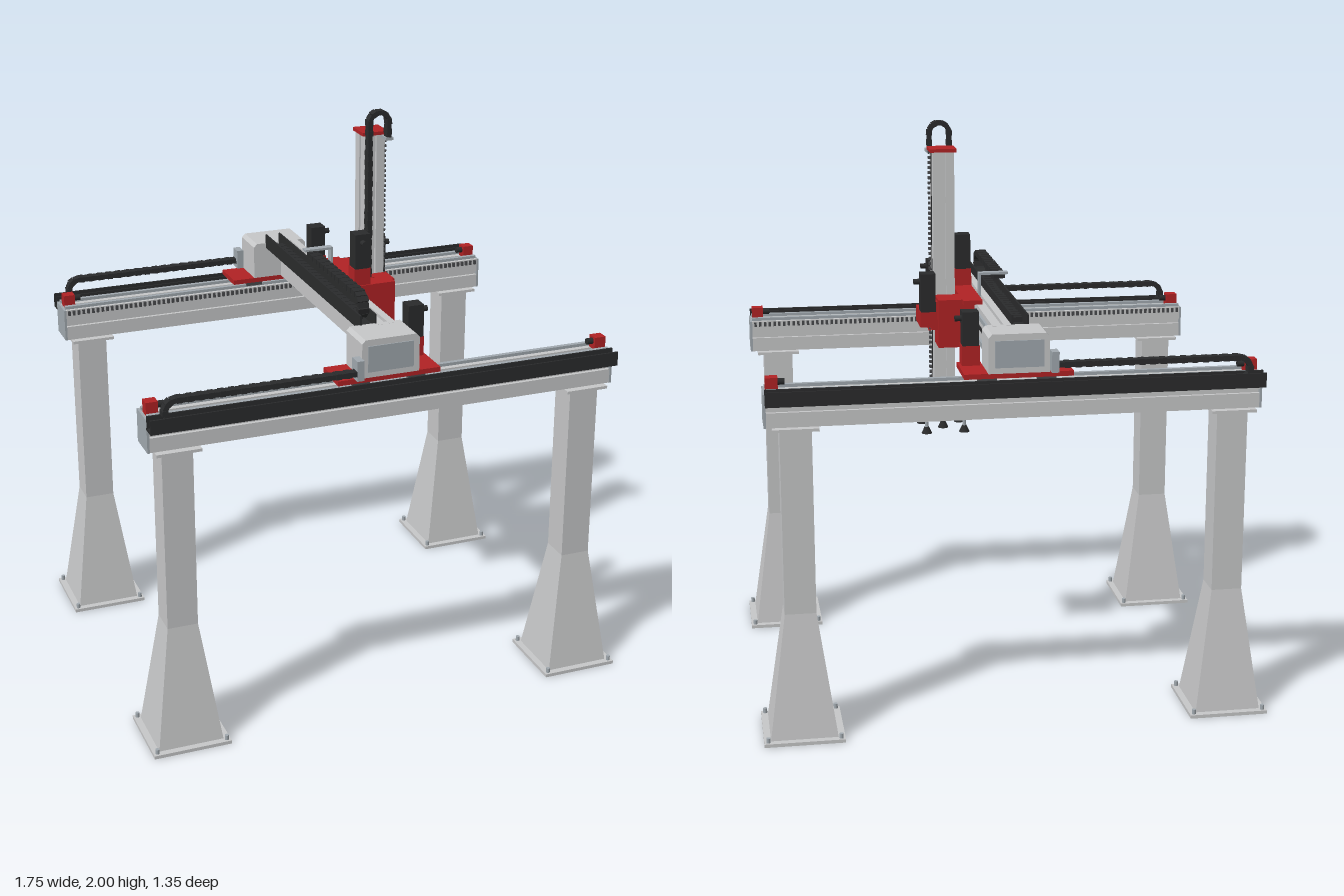
import * as THREE from 'three';
import { mergeGeometries } from 'three/addons/utils/BufferGeometryUtils.js';

const mat = (name, color) => {
  const m = new THREE.MeshStandardMaterial({ color });
  m.name = name;
  return m;
};

export function createModel() {
  const grey = mat('light grey', 0xc6c7c8), steel = mat('blue grey steel', 0xa0a8ae);
  const red = mat('red', 0xb02224), black = mat('black', 0x2a2b2c), dark = mat('dark grey', 0x48494b);
  const root = new THREE.Group();

  const add = (name, geo, m, x = 0, y = 0, z = 0) => {
    const mesh = new THREE.Mesh(geo, m);
    mesh.name = name;
    mesh.position.set(x, y, z);
    root.add(mesh);
    return mesh;
  };
  // Box given by its limits on each axis, in any order
  const box = (name, m, x0, x1, y0, y1, z0, z1) => add(name,
    new THREE.BoxGeometry(Math.abs(x1 - x0), Math.abs(y1 - y0), Math.abs(z1 - z0)), m,
    (x0 + x1) / 2, (y0 + y1) / 2, (z0 + z1) / 2);
  const cyl = (name, m, r0, r1, h, x, y, z, axis = 'y') => {
    const g = new THREE.CylinderGeometry(r0, r1, h, 16);
    if (axis === 'x') g.rotateZ(-Math.PI / 2);
    if (axis === 'z') g.rotateX(Math.PI / 2);
    return add(name, g, m, x, y, z);
  };

  // Aluminium profile: centred rectangle with a slot in the middle of each side
  const profile = (w, h, len) => {
    const a = w / 2, b = h / 2, s = 0.007, d = 0.012;
    const shape = new THREE.Shape([
      [-a, -b], [-s, -b], [-s, -b + d], [s, -b + d], [s, -b], [a, -b],
      [a, -s], [a - d, -s], [a - d, s], [a, s], [a, b],
      [s, b], [s, b - d], [-s, b - d], [-s, b], [-a, b],
      [-a, s], [-a + d, s], [-a + d, -s], [-a, -s],
    ].map(p => new THREE.Vector2(...p)));
    return new THREE.ExtrudeGeometry(shape, { depth: len, bevelEnabled: false }).translate(0, 0, -len / 2);
  };

  // Row of rack teeth along one axis
  const rack = (name, axis, from, to, x, y, z, size) => {
    const parts = [];
    for (let t = from; t <= to; t += 0.018) {
      const g = new THREE.BoxGeometry(...size);
      g.translate(axis === 'x' ? t : x, axis === 'y' ? t : y, z);
      parts.push(g);
    }
    add(name, mergeGeometries(parts), dark);
  };

  // Cable chain: flat links along a U path (run, half turn, run) in the xy plane
  const chain = (len0, len1, r, width, thick) => {
    const total = len0 + Math.PI * r + len1, n = Math.round(total / 0.018), parts = [];
    for (let i = 0; i < n; i++) {
      const t = (i + 0.5) * total / n;
      let x, y, a;
      if (t < len0) [x, y, a] = [len0 - t, -r, 0];
      else if (t < len0 + Math.PI * r) {
        a = (t - len0) / r;
        [x, y] = [-Math.sin(a) * r, -Math.cos(a) * r];
        a = -a;
      } else [x, y, a] = [t - len0 - Math.PI * r, r, 0];
      const g = new THREE.BoxGeometry(total / n * 1.08, i % 2 ? thick : thick * 0.85, i % 2 ? width : width * 0.92);
      parts.push(g.rotateZ(a).translate(x, y, 0));
    }
    return mergeGeometries(parts);
  };

  // Four legs with flared feet
  for (const x of [-0.738, 0.735]) for (const z of [-0.54, 0.54]) {
    box('footPlate', grey, x - 0.137, x + 0.137, 0, 0.012, z - 0.137, z + 0.137);
    const square = (name, top, bottom, y0, y1) => add(name,
      new THREE.CylinderGeometry(top * Math.SQRT2, bottom * Math.SQRT2, y1 - y0, 4).rotateY(Math.PI / 4).toNonIndexed(),
      grey, x, (y0 + y1) / 2, z).geometry.computeVertexNormals();
    square('legFlare', 0.053, 0.114, 0.012, 0.44);
    square('legColumn', 0.053, 0.053, 0.44, 1.08);
    box('legTopPlate', grey, x - 0.077, x + 0.077, 1.08, 1.09, z - 0.079, z + 0.079);
    for (const i of [-1, 1]) for (const j of [-1, 1])
      cyl('anchorBolt', steel, 0.007, 0.007, 0.018, x + i * 0.123, 0.02, z + j * 0.123);
  }

  // Both long rails with their carriages
  for (const s of [-1, 1]) {
    add('railBeam', profile(0.11, 0.115, 1.66).rotateY(Math.PI / 2), grey, 0, 1.148, s * 0.54);
    for (const e of [-1, 1]) {
      box('beamEndPlate', steel, e * 0.83, e * 0.838, 1.09, 1.205, s * 0.485, s * 0.597);
      box('endStop', red, e * 0.787, e * 0.828, 1.205, 1.25, s * 0.52, s * 0.56);
      cyl('stopBuffer', black, 0.011, 0.011, 0.024, e * 0.776, 1.233, s * 0.54, 'x');
    }
    for (const z of [0.505, 0.577])
      box('guideRail', steel, -0.83, 0.83, 1.205, 1.216, s * (z - 0.008), s * (z + 0.008));
    rack('railRack', 'x', -0.82, 0.82, 0, 1.195, s * 0.482, [0.009, 0.016, 0.01]);

    // Cable tray and chain on the outer side
    box('trayFloor', black, -0.838, 0.833, 1.172, 1.18, s * 0.59, s * 0.643);
    box('trayOuterWall', black, -0.838, 0.833, 1.172, 1.222, s * 0.637, s * 0.643);
    box('trayInnerWall', black, -0.838, 0.833, 1.172, 1.222, s * 0.597, s * 0.603);
    add('railChain', chain(1.55, 0.63, 0.04, 0.032, 0.02), black, -0.745, 1.235, s * 0.62);
    box('chainBracket', steel, -0.132, -0.107, 1.25, 1.32, s * 0.59, s * 0.637);

    // Carriage plate, bearing blocks and housing
    box('carriagePlate', red, -0.187, 0.18, 1.23, 1.247, s * 0.47, s * 0.605);
    box('motorMount', red, 0.1, 0.18, 1.23, 1.247, s * 0.428, s * 0.47);
    for (const x of [-0.1, 0.1]) for (const z of [0.505, 0.577])
      box('bearingBlock', dark, x - 0.03, x + 0.03, 1.212, 1.23, s * (z - 0.018), s * (z + 0.018));
    const house = new THREE.Shape([[-0.105, 0], [0.1, 0], [0.1, 0.12], [0.088, 0.133], [-0.093, 0.133], [-0.105, 0.12]]
      .map(p => new THREE.Vector2(...p)));
    add('carriageHousing', new THREE.ExtrudeGeometry(house, { depth: 0.14, bevelEnabled: false }),
      grey, 0, 1.247, s * 0.54 - 0.07);
    box('housingPanel', steel, -0.085, 0.078, 1.267, 1.358, s * 0.609, s * 0.614);

    // Drive motor, gearbox and pinion
    box('driveGearbox', red, 0.11, 0.17, 1.247, 1.315, s * 0.43, s * 0.487);
    box('driveMotor', black, 0.112, 0.168, 1.315, 1.43, s * 0.435, s * 0.488);
    cyl('motorPlug', black, 0.01, 0.01, 0.025, 0.178, 1.405, s * 0.46, 'x');
    cyl('pinion', dark, 0.02, 0.02, 0.055, 0.14, 1.203, s * 0.457);
  }

  // Cross beam with guide rails, tray and chain
  add('crossBeam', profile(0.066, 0.135, 0.98), grey, 0.034, 1.313, 0);
  for (const y of [1.27, 1.355])
    box('crossGuide', steel, 0.067, 0.075, y - 0.008, y + 0.008, -0.47, 0.47);
  box('crossStrip', black, 0.055, 0.069, 1.305, 1.32, -0.47, 0.47);
  box('crossTrayFloor', black, -0.058, 0.001, 1.362, 1.37, -0.475, 0.475);
  box('crossTrayOuterWall', black, -0.058, -0.052, 1.362, 1.413, -0.475, 0.475);
  box('crossTrayInnerWall', black, -0.005, 0.001, 1.362, 1.413, -0.475, 0.475);
  add('crossChain', chain(0.8, 0.44, 0.04, 0.04, 0.02).rotateY(Math.PI / 2), black, -0.028, 1.423, 0.385);
  box('crossChainBracket', steel, -0.055, 0.05, 1.472, 1.48, -0.08, -0.053);
  box('crossBracketPost', steel, 0.042, 0.05, 1.395, 1.475, -0.08, -0.053);

  // Red head carriage around the vertical axis
  box('headBackPlate', red, 0.076, 0.105, 1.23, 1.4, -0.147, 0.157);
  box('headTopPlate', red, 0.05, 0.118, 1.385, 1.4, -0.168, 0.16);
  box('headFrontCheek', red, 0.1, 0.203, 1.23, 1.4, 0.05, 0.157);
  box('headBackCheek', red, 0.1, 0.203, 1.23, 1.4, -0.147, -0.05);

  // Motor moving the head along the cross beam
  box('headGearbox', red, 0.05, 0.11, 1.4, 1.46, 0.1, 0.155);
  box('headMotor', black, 0.053, 0.107, 1.46, 1.585, 0.102, 0.154);
  cyl('headMotorPlug', black, 0.01, 0.01, 0.025, 0.08, 1.555, 0.164, 'z');

  // Motor lifting the vertical axis
  box('liftGearbox', red, 0.22, 0.264, 1.3, 1.355, -0.125, 0.008);
  box('liftMount', red, 0.2, 0.225, 1.29, 1.39, -0.125, -0.05);
  box('liftMotor', black, 0.21, 0.262, 1.355, 1.49, -0.128, -0.073);
  cyl('liftMotorPlug', black, 0.01, 0.01, 0.025, 0.272, 1.46, -0.1, 'x');

  // Vertical axis
  add('liftColumn', profile(0.075, 0.086, 0.89).rotateX(-Math.PI / 2), grey, 0.168, 1.462, 0);
  box('liftStrip', black, 0.193, 0.207, 1.02, 1.905, -0.006, 0.006);
  rack('liftRack', 'y', 1.03, 1.9, 0.209, 0, 0.03, [0.01, 0.009, 0.014]);
  box('columnTopCap', red, 0.122, 0.216, 1.902, 1.914, -0.046, 0.046);
  box('columnBottomCap', red, 0.122, 0.216, 0.995, 1.02, -0.046, 0.046);
  add('liftChain', chain(0.56, 0.06, 0.035, 0.032, 0.018).rotateZ(-Math.PI / 2), black, 0.168, 1.956, 0.075);
  box('liftChainBracket', steel, 0.19, 0.218, 1.892, 1.902, 0.04, 0.092);
  box('liftChainSupport', red, 0.118, 0.15, 1.39, 1.402, 0.045, 0.095);

  // Suction gripper
  cyl('gripperFlange', steel, 0.034, 0.034, 0.03, 0.168, 0.982, 0);
  box('gripperPlate', grey, 0.078, 0.26, 0.947, 0.967, -0.092, 0.092);
  box('vacuumValve', dark, 0.232, 0.248, 0.967, 1.0, -0.06, -0.035);
  for (const [i, j] of [[-1, -1], [-1, 1], [1, -1], [1, 1], [0, 0]]) {
    const x = 0.17 + i * 0.068, z = j * 0.068;
    cyl('cupStem', steel, 0.007, 0.007, 0.03, x, 0.935, z);
    cyl('suctionCup', black, 0.008, 0.019, 0.024, x, 0.911, z);
  }
  return root;
}
